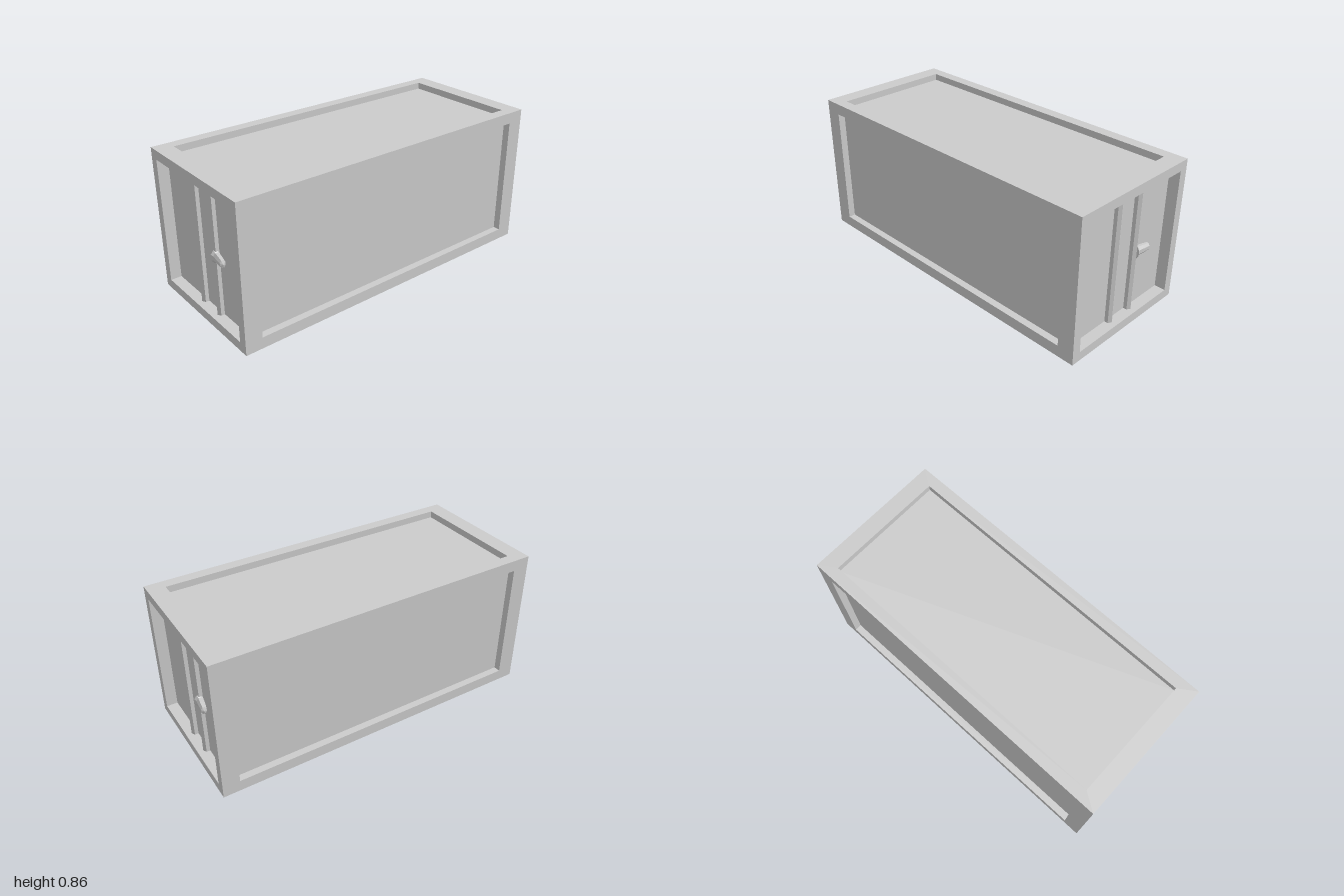
import * as THREE from 'three';

const TOP = 0.86, BOTTOM = 0.007, HALF_X = 1, HALF_Z = 0.425;
const MID = (TOP + BOTTOM) / 2, HALF_Y = (TOP - BOTTOM) / 2;

const grey = new THREE.MeshStandardMaterial({ color: 0xcccccc, flatShading: true });

function addMesh(parent, name, geometry) {
  const mesh = new THREE.Mesh(geometry, grey);
  mesh.name = name;
  parent.add(mesh);
  return mesh;
}

// Rectangular frame around a sunken panel, facing +z: outer rim, opening, recessed floor
function recessedFace(halfW, halfH, openW, openH, depth, shift = 0) {
  const corners = [[-1, -1], [1, -1], [1, 1], [-1, 1]];
  const ring = (w, h, z, dy) => corners.map(([x, y]) => [x * w, y * h + dy, z]);
  const rings = [
    ring(halfW, halfH, 0, 0),
    ring(openW, openH, 0, shift),
    ring(openW, openH, -depth, shift),
  ];
  const points = [];
  const quad = (a, b, c, d) => points.push(...a, ...b, ...c, ...a, ...c, ...d);
  for (let r = 0; r < 2; r++) {
    for (let i = 0; i < 4; i++) {
      const j = (i + 1) % 4;
      quad(rings[r][i], rings[r][j], rings[r + 1][j], rings[r + 1][i]);
    }
  }
  quad(...rings[2]);
  const geometry = new THREE.BufferGeometry();
  geometry.setAttribute('position', new THREE.Float32BufferAttribute(points, 3));
  geometry.computeVertexNormals();
  return geometry;
}

// Two locking bars and a lever, built for the +x end
function createLock(name, pokesThrough) {
  const lock = new THREE.Group();
  lock.name = name;
  const barBottom = 0.03, barTop = 0.83;
  for (const z of [0.07, -0.095]) {
    const bar = addMesh(lock, 'lockingBar', new THREE.CylinderGeometry(0.023, 0.023, barTop - barBottom, 6));
    bar.rotation.y = Math.PI / 2;
    bar.position.set(0.945, (barTop + barBottom) / 2, z);
    // Narrow foot of the bar showing under the floor
    if (pokesThrough) {
      const foot = addMesh(lock, 'barFoot', new THREE.ConeGeometry(0.023, barBottom, 6));
      foot.rotation.set(Math.PI, Math.PI / 2, 0);
      foot.position.set(0.945, barBottom / 2, z);
    }
  }

  // Tapered lever with a flared root and a blunt tip, leaning slightly outward
  const profile = [[0, 0], [0.042, 0.01], [0.03, 0.024], [0.028, 0.06], [0.023, 0.1], [0, 0.108]]
    .map(([r, t]) => new THREE.Vector2(r, t));
  const geometry = new THREE.LatheGeometry(profile, 8);
  geometry.rotateY(Math.PI / 8);
  geometry.scale(0.7, 1, 1);
  geometry.rotateX(-Math.PI / 2);
  const lever = addMesh(lock, 'lever', geometry);
  lever.rotation.y = -0.15;
  lever.position.set(0.95, 0.418, -0.095);
  return lock;
}

export function createModel() {
  const model = new THREE.Group();
  model.name = 'container';

  // Long sides and ends, each repeated half a turn around
  for (const turn of [0, Math.PI]) {
    const half = new THREE.Group();
    half.name = turn ? 'backHalf' : 'frontHalf';
    half.rotation.y = turn;
    model.add(half);

    const side = addMesh(half, 'longSide', recessedFace(HALF_X, HALF_Y, 0.9, 0.36, 0.042));
    side.position.set(0, MID, HALF_Z);

    const end = addMesh(half, 'doorEnd', recessedFace(HALF_Z, HALF_Y, 0.372, 0.372, 0.065));
    end.rotation.y = Math.PI / 2;
    end.position.set(HALF_X, MID, 0);

    half.add(createLock('doorLock', turn === 0));
  }

  // Roof with its shallow recess
  const roof = addMesh(model, 'roof', recessedFace(HALF_X, HALF_Z, 0.9, 0.358, 0.04));
  roof.rotation.x = -Math.PI / 2;
  roof.position.y = TOP;

  // Plain floor, facing down
  const floor = addMesh(model, 'floor', new THREE.PlaneGeometry(2 * HALF_X, 2 * HALF_Z));
  floor.rotation.x = Math.PI / 2;
  floor.position.y = BOTTOM;

  return model;
}
